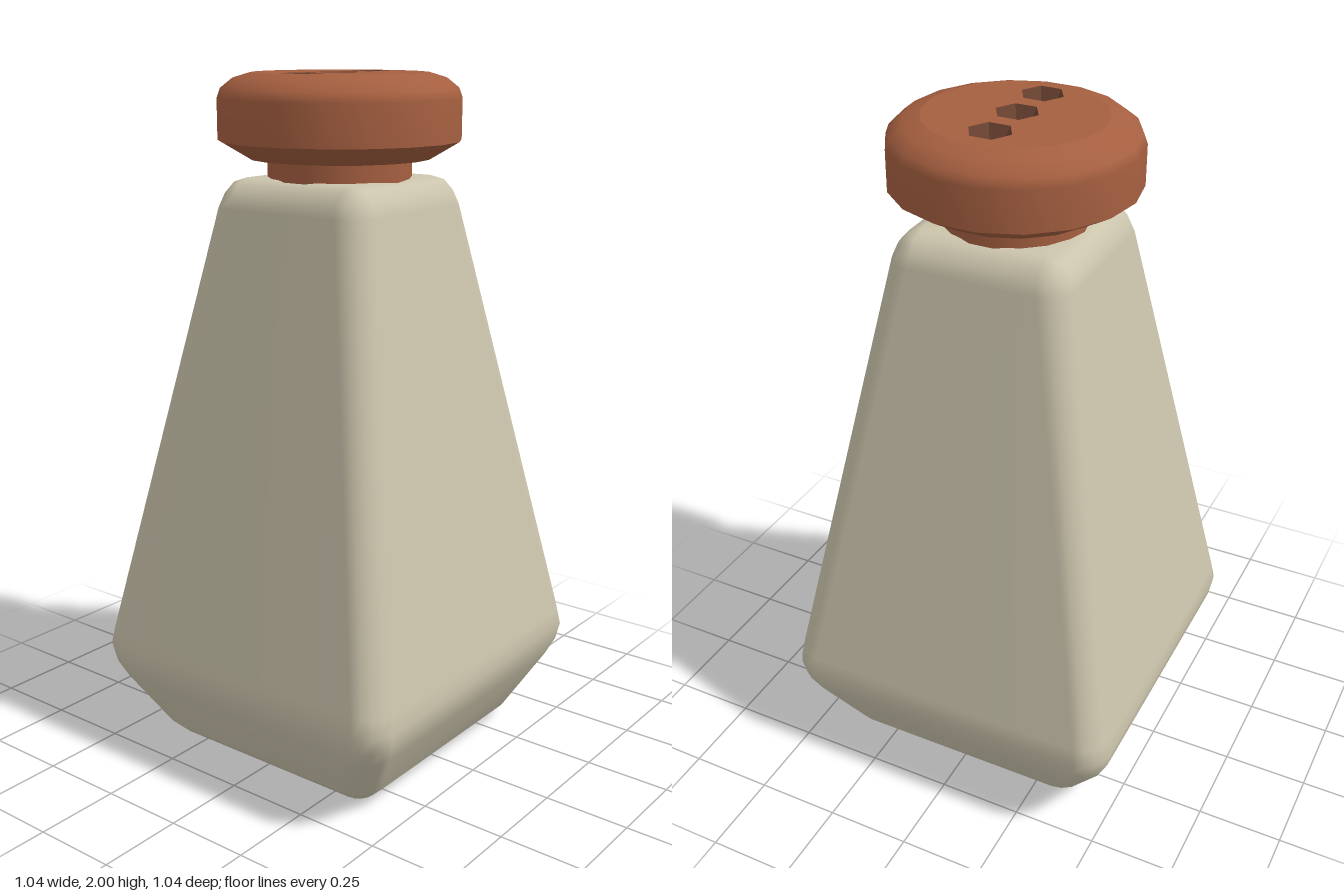
import * as THREE from 'three';

const bodyMat = new THREE.MeshStandardMaterial({ color: 0xcbc4ac });
bodyMat.name = 'cream';
const capMat = new THREE.MeshStandardMaterial({ color: 0xa55f40 });
capMat.name = 'terracotta';
const holeMat = new THREE.MeshStandardMaterial({ color: 0x6b4231 });
holeMat.name = 'dark brown';

function addMesh(parent, name, geometry, material) {
  const mesh = new THREE.Mesh(geometry, material);
  mesh.name = name;
  parent.add(mesh);
  return mesh;
}

const lathe = (profile, sides) =>
  new THREE.LatheGeometry(profile.map(([r, y]) => new THREE.Vector2(r, y)), sides);

// Loft through rounded squares, each given as [height, half width, corner radius]
function roundedLoft(sections, steps = 4) {
  const pos = [];
  const index = [];
  for (const [y, half, r] of sections) {
    for (let corner = 0; corner < 4; corner++) {
      const mid = (corner + 0.5) * Math.PI / 2;
      const cx = Math.sign(Math.cos(mid)) * (half - r);
      const cz = Math.sign(Math.sin(mid)) * (half - r);
      for (let s = 0; s <= steps; s++) {
        const a = (corner + s / steps) * Math.PI / 2;
        pos.push(cx + r * Math.cos(a), y, cz + r * Math.sin(a));
      }
    }
  }
  const n = 4 * (steps + 1);
  const last = (sections.length - 1) * n;
  const bottom = sections.length * n;
  pos.push(0, sections[0][0], 0, 0, sections[sections.length - 1][0], 0);
  for (let i = 0; i < n; i++) {
    const j = (i + 1) % n;
    for (let k = 0; k < last; k += n) {
      index.push(k + i, k + n + i, k + j, k + j, k + n + i, k + n + j);
    }
    index.push(bottom, i, j, bottom + 1, last + j, last + i);
  }
  const geometry = new THREE.BufferGeometry();
  geometry.setAttribute('position', new THREE.Float32BufferAttribute(pos, 3));
  geometry.setIndex(index);
  geometry.computeVertexNormals();
  return geometry;
}

export function createModel() {
  const model = new THREE.Group();
  model.name = 'shaker';

  // Tapered square body with soft edges
  addMesh(model, 'body', roundedLoft([
    [0, 0.31, 0.01], [0.012, 0.36, 0.05], [0.05, 0.4, 0.08],
    [0.21, 0.489, 0.08], [0.26, 0.511, 0.08], [0.31, 0.52, 0.08], [0.36, 0.512, 0.08],
    [1.63, 0.268, 0.08], [1.67, 0.252, 0.07], [1.7, 0.225, 0.04], [1.712, 0.19, 0.01],
  ]), bodyMat);

  // Neck and faceted cap
  const cap = new THREE.Group();
  cap.name = 'cap';
  model.add(cap);
  const sides = 18;
  const topRadius = 0.25;
  addMesh(cap, 'neck', lathe([[0.205, 1.69], [0.205, 1.78]], sides), capMat);
  addMesh(cap, 'capUnderside', lathe([[0.19, 1.763], [0.26, 1.765], [0.345, 1.815]], sides), capMat);
  addMesh(cap, 'capRim', lathe(
    [[0.345, 1.815], [0.345, 1.93], [0.335, 1.957], [0.3, 1.985], [topRadius, 2]], sides), capMat);

  // Flat top pierced by three hexagonal holes
  const polygon = (PathType, cx, r, count) => {
    const points = [];
    for (let i = 0; i < count; i++) {
      const a = i / count * Math.PI * 2;
      points.push(new THREE.Vector2(cx + r * Math.sin(a), r * Math.cos(a)));
    }
    return new PathType(points);
  };
  const holeCentres = [-0.164, -0.01, 0.144];
  const holeRadius = 0.062;
  const top = polygon(THREE.Shape, 0, topRadius, sides);
  top.holes = holeCentres.map((x) => polygon(THREE.Path, x, holeRadius, 6));
  const topGeometry = new THREE.ShapeGeometry(top).rotateX(-Math.PI / 2);
  addMesh(cap, 'capTop', topGeometry, capMat).position.y = 2;

  // Tapered wells below the holes
  const well = lathe([[holeRadius, 0], [0.035, -0.05], [0, -0.05]], 6).toNonIndexed();
  well.computeVertexNormals();
  for (const x of holeCentres) {
    addMesh(cap, 'pouringHole', well, holeMat).position.set(x, 2, 0);
  }
  return model;
}
